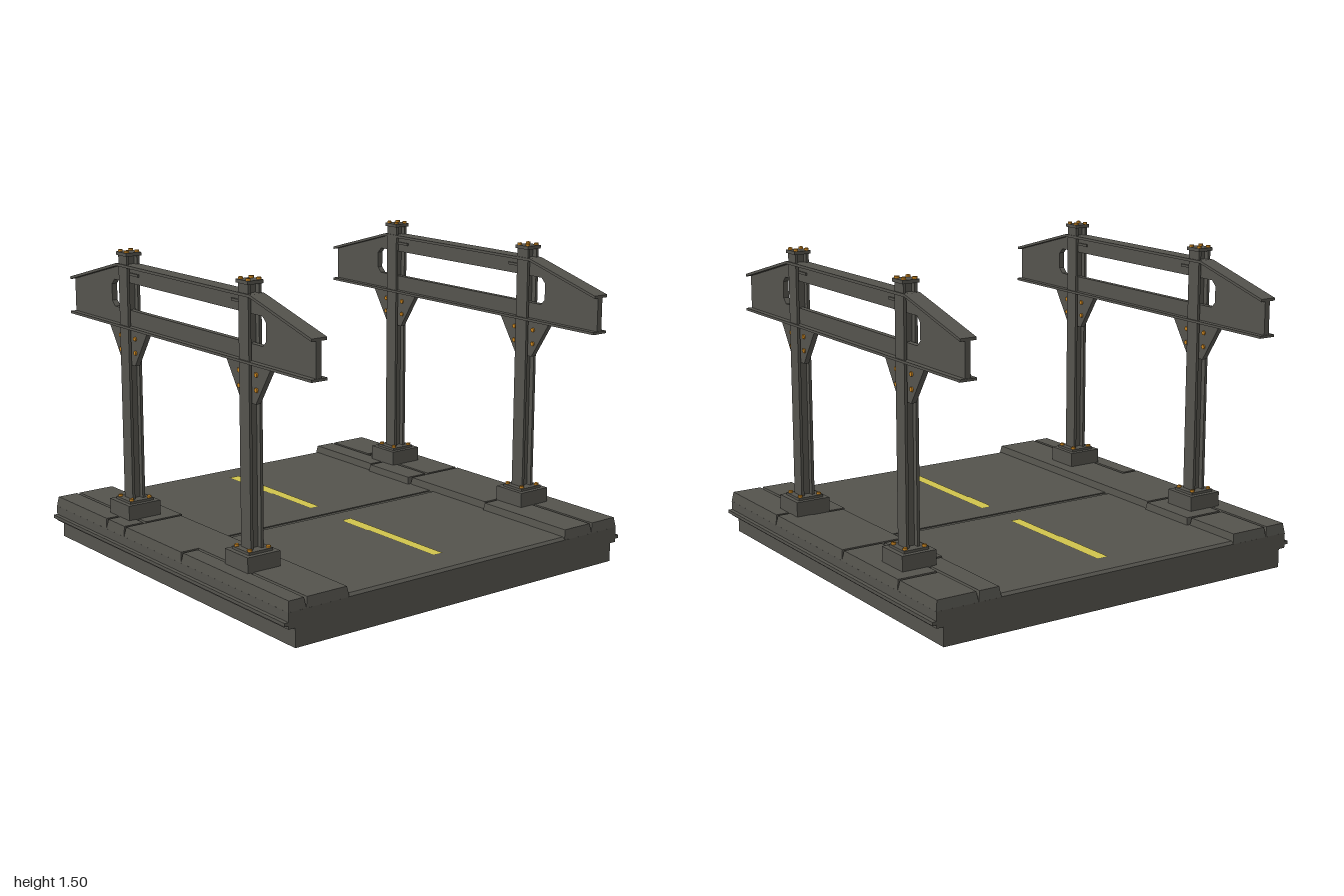
import * as THREE from 'three';

const mat = (name, color, extra = {}) => new THREE.MeshStandardMaterial({ name, color, ...extra });

export function createModel() {
  const root = new THREE.Group();
  root.name = 'bridgeSection';
  const concrete = mat('darkConcrete', 0x54534d);
  const yellow = mat('lanePaint', 0xd0c34c);
  const orange = mat('rustyBolt', 0xc8831f);

  const add = (parent, name, geo, material, x = 0, y = 0, z = 0) => {
    const m = new THREE.Mesh(geo, material);
    m.name = name;
    m.position.set(x, y, z);
    parent.add(m);
    return m;
  };
  // box given by its limits
  const block = (parent, name, x0, x1, y0, y1, z0, z1, material = concrete) =>
    add(parent, name, new THREE.BoxGeometry(x1 - x0, y1 - y0, z1 - z0), material,
      (x0 + x1) / 2, (y0 + y1) / 2, (z0 + z1) / 2);
  // side profile in (z, y), extruded to a width along x and centred
  const sideExtrude = (points, width, hole) => {
    const shape = new THREE.Shape(points.map(p => new THREE.Vector2(...p)));
    if (hole) shape.holes.push(new THREE.Path(hole.map(p => new THREE.Vector2(...p))));
    const g = new THREE.ExtrudeGeometry(shape, { depth: width, bevelEnabled: false });
    g.translate(0, 0, -width / 2);
    g.rotateY(-Math.PI / 2);
    return g;
  };
  // block whose top is pulled in on all sides
  const tile = (parent, x0, x1, z0, z1) => {
    const w = x1 - x0, d = z1 - z0, h = 0.05, inset = 0.008;
    const g = new THREE.BoxGeometry(w, h, d);
    const p = g.attributes.position;
    for (let i = 0; i < p.count; i++) {
      if (p.getY(i) < 0) continue;
      p.setX(i, p.getX(i) - Math.sign(p.getX(i)) * inset);
      p.setZ(i, p.getZ(i) - Math.sign(p.getZ(i)) * inset);
    }
    g.computeVertexNormals();
    add(parent, 'pavementTile', g, concrete, (x0 + x1) / 2, 0.188, (z0 + z1) / 2);
  };

  // Deck
  const deck = new THREE.Group();
  deck.name = 'deck';
  root.add(deck);
  block(deck, 'lowerSlab', -0.945, 0.945, 0, 0.092, -0.98, 0.98);
  block(deck, 'upperSlab', -0.98, 0.98, 0.09, 0.165, -0.98, 0.98);
  for (const s of [-1, 1]) {
    add(deck, 'sideRail', new THREE.BoxGeometry(0.03, 0.016, 1.96), concrete, s * 0.985, 0.114, 0);
    // Road half with chamfered outer end
    const road = sideExtrude([[0.014, 0.16], [0.98, 0.16], [0.98, 0.166], [0.966, 0.178], [0.014, 0.178]], 1.32);
    if (s < 0) road.rotateY(Math.PI);
    add(deck, 'roadSlab', road, concrete);
  }
  block(deck, 'expansionJoint', -0.655, 0.655, 0.16, 0.174, -0.011, 0.011);

  // Pavement tiles: x0, x1, z0, z1
  [
    [-0.98, -0.86, -0.98, -0.497], [-0.98, -0.86, -0.497, -0.335],
    [-0.86, -0.655, -0.98, -0.66], [-0.86, -0.64, -0.66, -0.335],
    [-0.98, -0.655, -0.335, 0.158], [-0.885, -0.655, 0.1, 0.98],
    [-0.98, -0.885, 0.158, 0.98],
    [0.65, 0.767, -0.98, -0.495], [0.635, 0.767, -0.495, -0.167],
    [0.767, 0.98, -0.98, -0.662], [0.767, 0.98, -0.662, -0.167],
    [0.65, 0.98, -0.167, 0.407], [0.815, 0.98, 0.35, 0.488],
    [0.635, 0.815, 0.407, 0.98], [0.815, 0.98, 0.488, 0.98],
  ].forEach(t => tile(deck, ...t));

  // Worn lane stripes
  const stripe = pts => {
    const g = new THREE.ShapeGeometry(new THREE.Shape(pts.map(([x, z]) => new THREE.Vector2(x, -z))));
    g.rotateX(-Math.PI / 2);
    add(deck, 'laneStripe', g, yellow, 0, 0.1805, 0);
  };
  stripe([[-0.033, -0.46], [-0.027, -0.46], [-0.027, -0.13], [0.025, -0.13], [0.025, -0.83], [-0.033, -0.83]]);
  stripe([[-0.02, 0.125], [-0.033, 0.15], [-0.033, 0.33], [-0.027, 0.33], [-0.027, 0.8], [0.025, 0.805], [0.025, 0.125]]);

  const boltGeo = new THREE.CylinderGeometry(0.011, 0.011, 0.012, 6);
  const sideBoltGeo = boltGeo.clone().rotateZ(Math.PI / 2);
  const gussetGeo = sideExtrude([[-0.055, 0.955], [0.055, 0.955], [0.175, 1.14], [-0.175, 1.14]], 0.026);

  // Post: H-section column on a plinth, with gusset, cap and bolts
  const makePost = inward => {
    const g = new THREE.Group();
    g.name = 'post';
    block(g, 'plinth', -0.088, 0.088, 0.2, 0.285, -0.088, 0.088);
    block(g, 'basePlate', -0.065, 0.065, 0.285, 0.297, -0.065, 0.065);
    block(g, 'postWeb', -0.028, 0.028, 0.297, 1.48, -0.012, 0.012);
    for (const s of [-1, 1]) {
      add(g, 'postFlange', new THREE.BoxGeometry(0.014, 1.183, 0.074), concrete, s * 0.028, 0.8885, 0);
    }
    block(g, 'capPlate', -0.042, 0.042, 1.478, 1.494, -0.044, 0.044);
    add(g, 'gusset', gussetGeo, concrete);
    block(g, 'stub', -0.022, 0.022, 1.388, 1.4, Math.min(0, inward * 0.11), Math.max(0, inward * 0.11));
    for (const a of [-1, 1]) for (const b of [-1, 1]) {
      add(g, 'capBolt', boltGeo, orange, a * 0.028, 1.498, b * 0.028);
      add(g, 'baseBolt', boltGeo, orange, a * 0.05, 0.301, b * 0.05);
      for (const y of [1.088, 1.02]) add(g, 'gussetBolt', sideBoltGeo, orange, a * 0.015, y, b * 0.064);
    }
    return g;
  };

  // Girder: tapered web with a long window, flanges above and below
  const webGeo = sideExtrude(
    [[-0.98, 1.14], [0.98, 1.14], [0.98, 1.31], [0.545, 1.43], [-0.545, 1.43], [-0.98, 1.31]], 0.028,
    [[-0.605, 1.22], [-0.63, 1.245], [-0.63, 1.325], [-0.605, 1.35], [0.605, 1.35], [0.63, 1.325], [0.63, 1.245], [0.605, 1.22]]);
  const topFlangeGeo = sideExtrude(
    [[-0.984, 1.303], [-0.545, 1.424], [0.545, 1.424], [0.984, 1.303],
      [0.984, 1.316], [0.545, 1.437], [-0.545, 1.437], [-0.984, 1.316]], 0.08);
  const bottomFlangeGeo = new THREE.BoxGeometry(0.084, 0.012, 1.968);

  for (const s of [-1, 1]) {
    const frame = new THREE.Group();
    frame.name = s > 0 ? 'leftFrame' : 'rightFrame';
    frame.position.x = s * 0.818;
    root.add(frame);
    for (const f of [-1, 1]) {
      const post = makePost(-f);
      post.position.z = f * 0.493;
      frame.add(post);
    }
    add(frame, 'girderWeb', webGeo, concrete);
    add(frame, 'girderTopFlange', topFlangeGeo, concrete);
    add(frame, 'girderBottomFlange', bottomFlangeGeo, concrete, 0, 1.139, 0);
  }
  return root;
}
